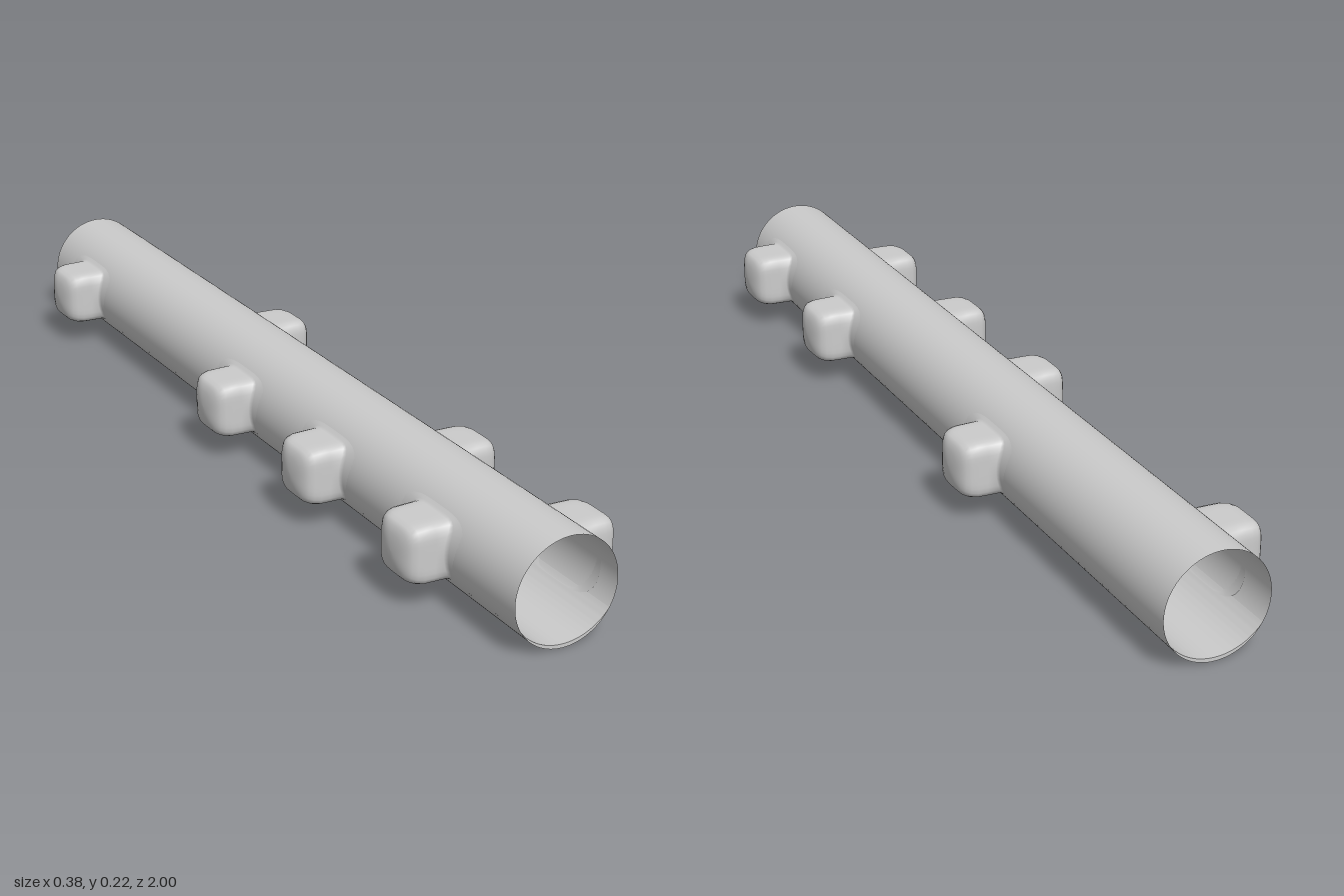
import * as THREE from 'three';
import { toCreasedNormals } from 'three/addons/utils/BufferGeometryUtils.js';

const R = 0.11;        // pipe radius, resting on the ground
const LENGTH = 2;
const grey = new THREE.MeshStandardMaterial({ color: 0xcccccc, side: THREE.DoubleSide });

function addMesh(parent, name, geometry) {
  const mesh = new THREE.Mesh(geometry, grey);
  mesh.name = name;
  parent.add(mesh);
  return mesh;
}

// Open shell covering the upper 240 degrees of the pipe
function upperShellGeometry() {
  const arc = Math.PI * 4 / 3;
  return new THREE.CylinderGeometry(R, R, LENGTH, 64, 1, true, Math.PI - arc / 2, arc)
    .rotateX(Math.PI / 2);
}

// Crescent-section trough closing the bottom of the pipe
function troughGeometry() {
  const a = Math.PI / 6;
  const innerR = 0.1201, innerY = 0.0181;
  const b = Math.atan2(R * Math.sin(a) + innerY, R * Math.cos(a));
  const shape = new THREE.Shape();
  shape.absarc(0, 0, R, Math.PI + a, 2 * Math.PI - a, false);
  shape.absarc(0, innerY, innerR, -b, -Math.PI + b, true);
  const geometry = new THREE.ExtrudeGeometry(shape, {
    depth: LENGTH, bevelEnabled: false, curveSegments: 32,
  }).translate(0, 0, -LENGTH / 2);
  return toCreasedNormals(geometry, 0.5);
}

// Rounded peg pointing to +x: rounded-square sections with a fillet at the pipe and a domed end
function pegGeometry() {
  // [x (or null: on the pipe wall), wall offset, half height, half width, squareness]
  const rows = [
    [null, -0.001, 0.068, 0.105, 4],
    [null, 0.001, 0.063, 0.075, 5],
    [null, 0.004, 0.0595, 0.064, 7],
    [0.130, 0, 0.0595, 0.0625, 7],
    [0.150, 0, 0.059, 0.062, 7],
    [0.164, 0, 0.057, 0.0595, 6],
    [0.174, 0, 0.0535, 0.054, 5],
    [0.181, 0, 0.047, 0.045, 4],
    [0.186, 0, 0.033, 0.031, 3],
    [0.1885, 0, 0.016, 0.015, 2],
    [0.189, 0, 0, 0, 2],
  ];
  const N = 48, positions = [], index = [];
  rows.forEach(([x, offset, hy, hz, n], i) => {
    for (let j = 0; j < N; j++) {
      const c = Math.cos(j / N * 2 * Math.PI), s = Math.sin(j / N * 2 * Math.PI);
      const r = (Math.abs(c) ** n + Math.abs(s) ** n) ** (-1 / n);
      const y = hy * r * c;
      positions.push(x ?? Math.sqrt(R * R - y * y) + offset, y, hz * r * s);
      if (i === rows.length - 1) continue;
      const a = i * N + j, b = i * N + (j + 1) % N;
      index.push(a, b, a + N);
      if (i < rows.length - 2) index.push(b, b + N, a + N);
    }
  });
  const geometry = new THREE.BufferGeometry();
  geometry.setAttribute('position', new THREE.Float32BufferAttribute(positions, 3));
  geometry.setIndex(index);
  geometry.computeVertexNormals();
  return geometry;
}

export function createModel() {
  const model = new THREE.Group();
  model.name = 'peggedPipe';

  const pipe = new THREE.Group();
  pipe.name = 'pipe';
  pipe.position.y = R;
  model.add(pipe);
  addMesh(pipe, 'upperShell', upperShellGeometry());
  addMesh(pipe, 'lowerTrough', troughGeometry());

  // Staggered pegs along both sides
  const peg = pegGeometry();
  const sides = [
    { name: 'leftPeg', turn: 0, zs: [0.845, 0.46, -0.295] },
    { name: 'rightPeg', turn: Math.PI, zs: [0.715, 0.335, -0.04, -0.81] },
  ];
  for (const { name, turn, zs } of sides) {
    zs.forEach((z, i) => {
      const mesh = addMesh(model, name + (i + 1), peg);
      mesh.position.set(0, 0.112, z);
      mesh.rotation.y = turn;
    });
  }
  return model;
}
